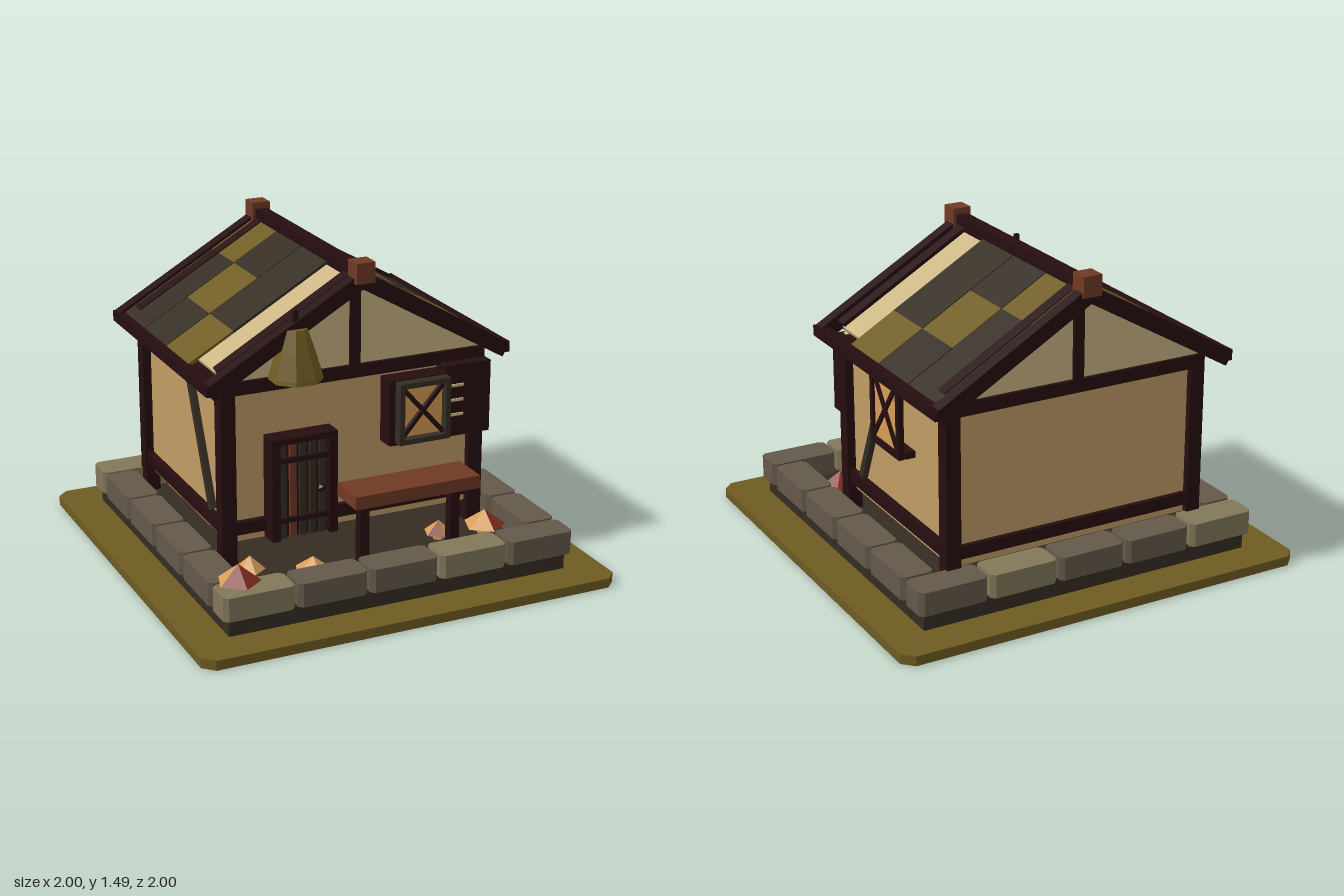
import * as THREE from 'three';

const material = (name, color) => {
  const m = new THREE.MeshStandardMaterial({ color });
  m.name = name;
  return m;
};

export function createModel() {
  const model = new THREE.Group();
  const moss = material('moss', 0x6f5c22);
  const stone = material('stone', 0x64594a);
  const paleStone = material('pale stone', 0x827759);
  const slate = material('slate', 0x352d23);
  const timber = material('dark timber', 0x260e10);
  const wood = material('red brown wood', 0x703a23);
  const plaster = material('tan plaster', 0xc09c65);
  const cream = material('cream plaster', 0xcbb584);
  const amber = material('amber', 0xd69d55);
  const red = material('red', 0x84301f);

  const add = (name, geometry, mat, parent = model) => {
    const mesh = new THREE.Mesh(geometry, mat);
    mesh.name = name;
    parent.add(mesh);
    return mesh;
  };
  // Box given by its limits on each axis
  const box = (name, mat, x0, x1, y0, y1, z0, z1, parent) => {
    const mesh = add(name, new THREE.BoxGeometry(x1 - x0, y1 - y0, z1 - z0), mat, parent);
    mesh.position.set((x0 + x1) / 2, (y0 + y1) / 2, (z0 + z1) / 2);
    return mesh;
  };
  // Straight bar between two points
  const bar = (name, mat, a, b, width, height) => {
    const p = new THREE.Vector3(...a), q = new THREE.Vector3(...b);
    const mesh = add(name, new THREE.BoxGeometry(width, height, p.distanceTo(q)), mat);
    mesh.position.copy(p).lerp(q, 0.5);
    mesh.lookAt(q);
    return mesh;
  };
  // Slab whose plan has cut corners
  const slab = (name, mat, x0, x1, y0, y1, z0, z1, c) => {
    const w = (x1 - x0) / 2, d = (z1 - z0) / 2;
    const shape = new THREE.Shape([[w, c - d], [w, d - c], [w - c, d], [c - w, d],
      [-w, d - c], [-w, c - d], [c - w, -d], [w - c, -d]].map(p => new THREE.Vector2(...p)));
    const g = new THREE.ExtrudeGeometry(shape, { depth: y1 - y0, bevelEnabled: false });
    const mesh = add(name, g.rotateX(-Math.PI / 2), mat);
    mesh.position.set((x0 + x1) / 2, y0, (z0 + z1) / 2);
  };
  const flat = g => {
    const n = g.index ? g.toNonIndexed() : g;
    n.computeVertexNormals();
    return n;
  };

  // Ground and foundation
  slab('ground', moss, -1, 1, 0, 0.045, -1, 1, 0.05);
  box('foundation', slate, -0.82, 0.82, 0.045, 0.13, -0.82, 0.82);

  // Ring of edging stones
  for (let i = 0; i < 5; i++) {
    const x = (i - 2) * 0.342;
    const mat = i % 3 === 0 ? paleStone : stone;
    for (const z of [-0.77, 0.77])
      slab('edgingStone', mat, x - 0.164, x + 0.164, 0.125, 0.235, z - 0.077, z + 0.077, 0.02);
  }
  for (let i = 0; i < 4; i++) {
    const z = (i - 1.5) * 0.342;
    for (const x of [-0.772, 0.772])
      slab('edgingStone', stone, x - 0.077, x + 0.077, 0.125, 0.235, z - 0.164, z + 0.164, 0.02);
  }

  // House body and timber frame
  box('walls', plaster, -0.61, 0.61, 0.23, 0.98, -0.68, 0.305);
  for (const x of [-0.615, 0.615]) {
    for (const z of [-0.675, 0.305])
      box('cornerPost', timber, x - 0.035, x + 0.035, 0.13, 0.99, z - 0.035, z + 0.035);
    for (const y of [0.3, 0.96])
      box('sideRail', timber, x - 0.025, x + 0.025, y - 0.03, y + 0.03, -0.66, 0.3);
    bar('wallBrace', slate, [x * 1.01, 0.34, 0.16], [x * 1.01, 0.88, -0.08], 0.035, 0.035);
  }
  for (const z of [-0.675, 0.305]) {
    box('bottomRail', timber, -0.6, 0.6, 0.27, 0.33, z - 0.028, z + 0.028);
    box('tieBeam', timber, -0.65, 0.65, 0.93, 0.99, z - 0.033, z + 0.033);
    // Gable infill with king post
    const triangle = new THREE.Shape([new THREE.Vector2(-0.64, 0.985),
      new THREE.Vector2(0.64, 0.985), new THREE.Vector2(0, 1.37)]);
    const gable = add('gable', new THREE.ExtrudeGeometry(triangle,
      { depth: 0.03, bevelEnabled: false }), cream);
    gable.position.z = z - 0.015;
    box('kingPost', timber, -0.025, 0.025, 0.98, 1.36, z - 0.03, z + 0.03);
  }

  // Roof: rafters, ridge and eaves
  const slope = Math.PI / 6;
  const roofY = x => 1.398 - Math.tan(slope) * x;
  for (const s of [-1, 1]) {
    for (const [z, end] of [[0.38, 0.722], [0.3, 0.64], [-0.68, 0.64], [-0.765, 0.722]])
      bar('rafter', timber, [0, roofY(0), z], [s * end, roofY(end), z], 0.06,
        Math.abs(end - 0.64) < 0.01 ? 0.055 : 0.07);
    box('eaveBeam', timber, s * 0.715 - 0.025, s * 0.715 + 0.025, 0.97, 1.02, -0.79, 0.41);

    // Cream boarding with slate and moss tiles on each slope
    const pane = new THREE.Group();
    pane.name = 'roofSlope';
    pane.position.y = 1.398;
    pane.rotation.z = -s * slope;
    model.add(pane);
    const sheet = (name, mat, x0, x1, y0, y1, z0, z1) => {
      const a = s * x0 / Math.cos(slope), b = s * x1 / Math.cos(slope);
      box(name, mat, Math.min(a, b), Math.max(a, b), y0, y1, z0, z1, pane);
    };
    sheet('roofBoarding', cream, 0.01, 0.645, -0.015, 0.01, -0.735, 0.285);
    const columns = [0, 0.237, 0.474, 0.69];
    for (let row = 0; row < 3; row++)
      for (let col = 0; col < 3; col++)
        sheet('roofTile', row === col ? moss : slate, columns[col], columns[col + 1],
          0.005, 0.022, -0.745 + row * 0.282, -0.47 + row * 0.282);
  }
  box('ridgeBeam', timber, -0.03, 0.03, 1.39, 1.455, -0.8, 0.42);
  for (const z of [-0.76, 0.39])
    box('ridgeCap', wood, -0.045, 0.045, 1.39, 1.485, z - 0.045, z + 0.045);

  // Door with upright slats
  box('doorPanel', timber, -0.41, -0.13, 0.235, 0.7, 0.31, 0.36);
  for (const [x0, x1] of [[-0.435, -0.395], [-0.155, -0.115]])
    box('doorJamb', timber, x0, x1, 0.235, 0.72, 0.3, 0.4);
  box('doorLintel', timber, -0.435, -0.115, 0.69, 0.72, 0.3, 0.4);
  for (let i = 0; i < 5; i++) {
    const x = -0.37 + i * 0.048;
    box('doorSlat', i === 1 ? wood : slate, x - 0.016, x + 0.016, 0.235, 0.69, 0.355, 0.375);
  }
  for (const y of [0.325, 0.61])
    box('doorBar', timber, -0.4, -0.15, y - 0.012, y + 0.012, 0.37, 0.39);
  add('doorKnob', flat(new THREE.IcosahedronGeometry(0.022, 0)), timber).position.set(-0.2, 0.465, 0.41);

  // Front window, crossed bars and louvred shutter
  box('windowPanel', timber, 0.14, 0.43, 0.6, 0.91, 0.3, 0.4);
  box('shutter', timber, 0.42, 0.65, 0.6, 0.94, 0.31, 0.4);
  box('windowGlass', amber, 0.18, 0.41, 0.63, 0.89, 0.402, 0.41);
  for (const x of [0.18, 0.41])
    box('windowTrim', slate, x - 0.012, x + 0.012, 0.615, 0.905, 0.4, 0.45);
  for (const y of [0.627, 0.893])
    box('windowTrim', slate, 0.168, 0.422, y - 0.012, y + 0.012, 0.4, 0.45);
  bar('windowCross', timber, [0.18, 0.63, 0.42], [0.41, 0.89, 0.42], 0.02, 0.02);
  bar('windowCross', timber, [0.18, 0.89, 0.42], [0.41, 0.63, 0.42], 0.02, 0.02);
  for (const y of [0.705, 0.775, 0.845])
    box('louvre', cream, 0.42, 0.51, y - 0.006, y + 0.006, 0.4, 0.408);

  // Side window hung below the eave
  box('sideWindowSill', timber, 0.6, 0.66, 0.62, 0.65, -0.35, -0.07);
  box('sideWindowGlass', amber, 0.672, 0.68, 0.64, 0.975, -0.335, -0.085);
  for (const z of [-0.335, -0.085])
    box('sideWindowFrame', timber, 0.665, 0.692, 0.62, 0.975, z - 0.014, z + 0.014);
  box('sideWindowFrame', timber, 0.665, 0.692, 0.62, 0.65, -0.345, -0.075);
  bar('sideWindowCross', timber, [0.682, 0.65, -0.33], [0.682, 0.97, -0.09], 0.02, 0.02);
  bar('sideWindowCross', timber, [0.682, 0.97, -0.33], [0.682, 0.65, -0.09], 0.02, 0.02);

  // Hanging bell over the door
  const profile = [[0, 1.0], [0.1, 1.01], [0.122, 0.99], [0.118, 1.01], [0.085, 1.12], [0.052, 1.22], [0, 1.22]]
    .map(p => new THREE.Vector2(...p));
  add('bell', flat(new THREE.LatheGeometry(profile, 8, Math.PI / 8)), moss).position.set(-0.315, 0, 0.39);
  box('bellHook', timber, -0.327, -0.305, 1.2, 1.3, 0.38, 0.4);

  // Bench
  box('benchTop', wood, -0.18, 0.43, 0.47, 0.53, 0.53, 0.72);
  for (const x of [-0.1, 0.348])
    box('benchLeg', timber, x - 0.023, x + 0.023, 0.13, 0.475, 0.6, 0.645);

  // Five-sided mushrooms; listed sides are amber
  const mushrooms = [
    [-0.725, 0.235, 0.7, 0.1, 0.08, [2, 3]], [-0.58, 0.17, 0.48, 0.07, 0.065, [0, 2, 3, 4]],
    [-0.33, 0.17, 0.6, 0.088, 0.065, [0, 1, 2, 3, 4]], [0.6, 0.165, 0.47, 0.1, 0.075, [3, 4]],
    [0.37, 0.16, 0.45, 0.07, 0.06, [0, 3]]];
  for (const [x, y, z, r, h, pale] of mushrooms) {
    const g = flat(new THREE.ConeGeometry(r, h, 5));
    g.clearGroups();
    for (let i = 0; i < 5; i++) g.addGroup(i * 3, 3, pale.includes(i) ? 0 : 1);
    g.addGroup(15, 15, 0);
    add('mushroomCap', g, [amber, red]).position.set(x, y + h / 2, z);
    const stem = add('mushroomStem', flat(new THREE.CylinderGeometry(r * 0.4, r * 0.4, 0.06, 5)), amber);
    stem.position.set(x, y - 0.025, z);
  }
  return model;
}
